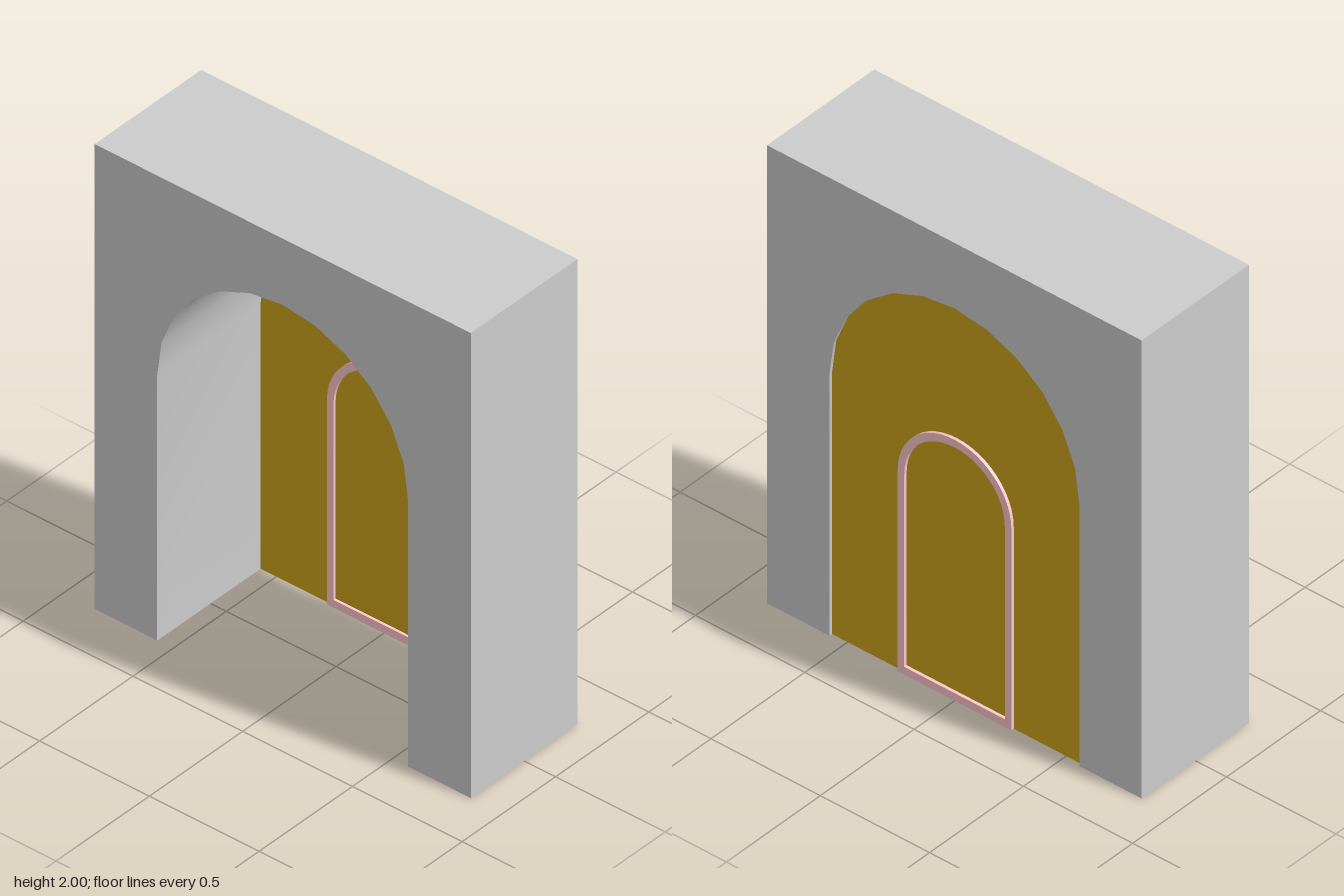
import * as THREE from 'three';
import { toCreasedNormals } from 'three/addons/utils/BufferGeometryUtils.js';

const HALF_X = 0.2857, HALF_Z = 0.857, HEIGHT = 2;

// Adds a round-topped opening outline, going up one side and down the other
function archPoints(radius, spring, base, segments) {
  const pts = [new THREE.Vector2(radius, base)];
  for (let i = 0; i <= segments; i++) {
    const a = (Math.PI * i) / segments;
    pts.push(new THREE.Vector2(radius * Math.cos(a), spring + radius * Math.sin(a)));
  }
  pts.push(new THREE.Vector2(-radius, base));
  return pts;
}

// Extrudes a z-y outline along x, from x0 to x1
function slab(name, shape, x0, x1, color) {
  let geo = new THREE.ExtrudeGeometry(shape, { depth: x1 - x0, bevelEnabled: false });
  geo.rotateY(Math.PI / 2);
  geo.translate(x0, 0, 0);
  geo = toCreasedNormals(geo, 0.5);
  const mesh = new THREE.Mesh(geo, new THREE.MeshStandardMaterial({ color }));
  mesh.name = name;
  return mesh;
}

export function createModel() {
  const group = new THREE.Group();
  group.name = 'archedDoorway';
  const arch = archPoints(0.5714, 1.143, 0, 12);

  // Wall block with the arched passage cut through from the ground
  const wall = new THREE.Shape([
    new THREE.Vector2(-HALF_Z, 0),
    new THREE.Vector2(-HALF_Z, HEIGHT),
    new THREE.Vector2(HALF_Z, HEIGHT),
    new THREE.Vector2(HALF_Z, 0),
    ...arch,
  ]);
  group.add(slab('wall', wall, -HALF_X, HALF_X, 0xcccccc));

  // Thin panel closing the passage, set just behind the wall face
  group.add(slab('panel', new THREE.Shape(arch), 0.268, 0.272, 0xcca41c));

  // Door frame running all the way round, standing out on both sides of the panel
  const frame = new THREE.Shape(archPoints(0.26, 0.88, 0, 24));
  frame.holes.push(new THREE.Path(archPoints(0.23, 0.877, 0.034, 24)));
  group.add(slab('doorFrame', frame, 0.257, 0.285, 0xffc8cc));

  return group;
}
